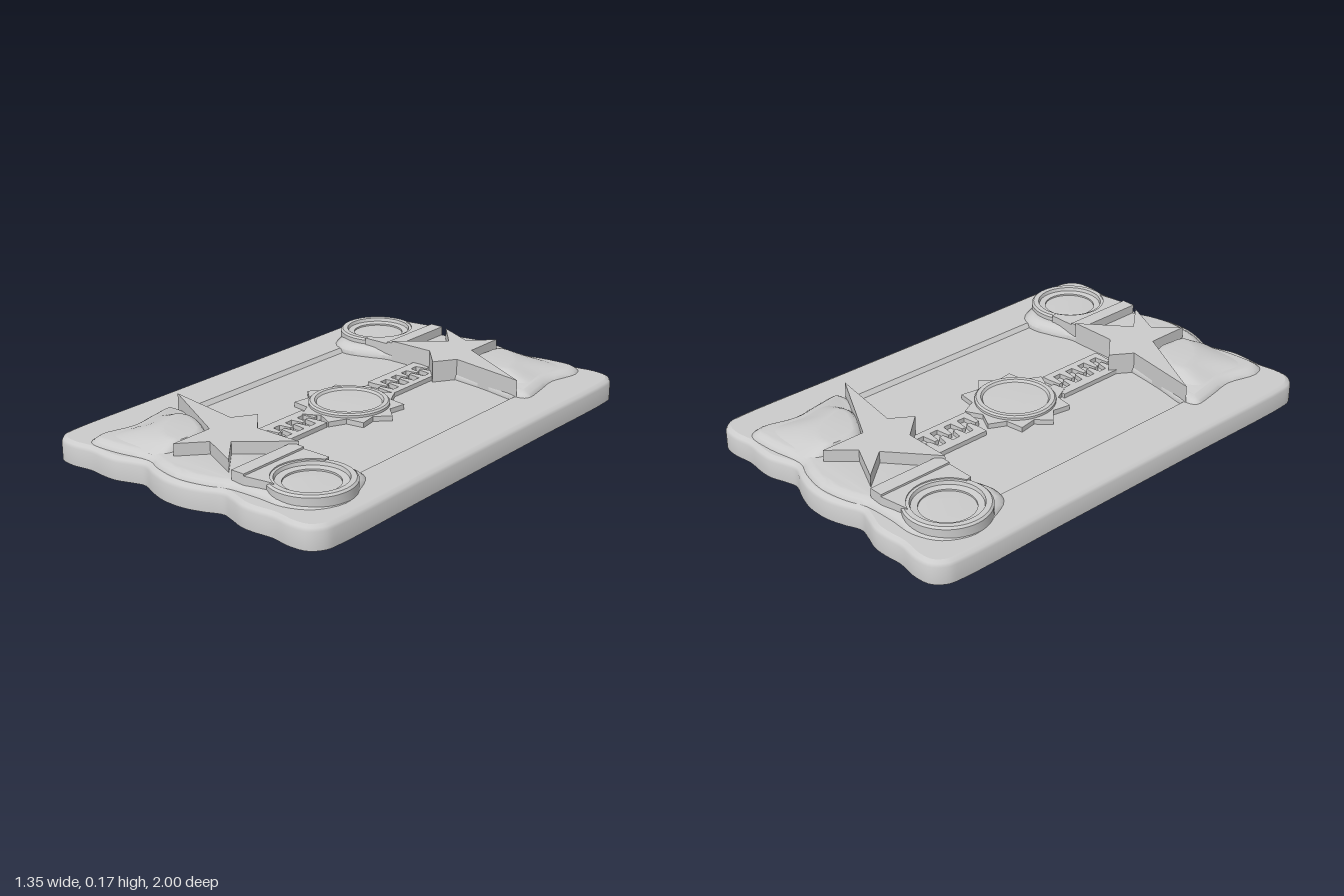
import * as THREE from 'three';
import { toCreasedNormals } from 'three/addons/utils/BufferGeometryUtils.js';

const mat = new THREE.MeshStandardMaterial({ color: 0xcccccc, side: THREE.DoubleSide });

function add(parent, name, geometry) {
  const mesh = new THREE.Mesh(geometry, mat);
  mesh.name = name;
  parent.add(mesh);
  return mesh;
}

// Plan points are [x, z]; stored as (x, -z), counter-clockwise seen from above
function plan(list) {
  const pts = list.map(([x, z]) => new THREE.Vector2(x, -z));
  return THREE.ShapeUtils.isClockWise(pts) ? pts.reverse() : pts;
}

function smooth(list, n = 96) {
  const curve = new THREE.CatmullRomCurve3(list.map(([x, z]) => new THREE.Vector3(x, 0, z)), true);
  return plan(curve.getPoints(n).slice(0, n).map(p => [p.x, p.z]));
}

function inset(pts, d) {
  const n = pts.length;
  return pts.map((p, i) => {
    const t = pts[(i + 1) % n].clone().sub(pts[(i + n - 1) % n]).normalize();
    return new THREE.Vector2(p.x - t.y * d, p.y + t.x * d);
  });
}

// Skin a stack of outlines [points, y], optionally closing the last one
function loft(levels, cap, crease = 0.6) {
  const n = levels[0][0].length, pos = [], idx = [];
  for (const [pts, y] of levels) for (const p of pts) pos.push(p.x, y, -p.y);
  for (let l = 0; l < levels.length - 1; l++) {
    for (let i = 0; i < n; i++) {
      const a = l * n + i, b = l * n + (i + 1) % n;
      idx.push(a, b, a + n, b, b + n, a + n);
    }
  }
  if (cap) {
    const start = (levels.length - 1) * n;
    const last = levels[levels.length - 1][0];
    for (const f of THREE.ShapeUtils.triangulateShape(last, [])) idx.push(...f.map(i => i + start));
  }
  const g = new THREE.BufferGeometry();
  g.setAttribute('position', new THREE.Float32BufferAttribute(pos, 3));
  g.setIndex(idx);
  return toCreasedNormals(g, crease);
}

const prism = (list, y0, y1) => {
  const pts = plan(list);
  return loft([[pts, y0], [pts, y1]], true, 0.4);
};

const lathe = (profile, seg = 48) =>
  toCreasedNormals(new THREE.LatheGeometry(profile.map(p => new THREE.Vector2(...p)), seg), 0.5);

// Everything on one short end; the other end is this turned half a circle
function createEnd() {
  const end = new THREE.Group();

  // Raised plateau across the end, swelling around the ring and the cushion
  const pad = smooth([
    [-0.52, 0.51], [-0.51, 0.62], [-0.49, 0.74], [-0.52, 0.88], [-0.49, 0.94], [-0.36, 0.945],
    [-0.2, 0.92], [-0.12, 0.95], [0, 0.97], [0.12, 0.95], [0.2, 0.92], [0.33, 0.91],
    [0.45, 0.91], [0.55, 0.86], [0.6, 0.75], [0.57, 0.64], [0.51, 0.53], [0.43, 0.505],
    [0.33, 0.53], [0.24, 0.56], [0, 0.56], [-0.14, 0.54], [-0.3, 0.52], [-0.47, 0.49]]);
  add(end, 'endPlateau', loft([[pad, 0.07], [pad, 0.092], [inset(pad, 0.015), 0.104],
    [inset(pad, 0.03), 0.113], [inset(pad, 0.04), 0.115]], true, 0.9));

  // Five-armed irregular star
  add(end, 'star', prism([[-0.48, 0.49], [-0.14, 0.545], [-0.08, 0.455], [0.015, 0.56], [0.22, 0.56],
    [0.03, 0.72], [0.14, 0.85], [-0.03, 0.77], [-0.12, 0.87], [-0.12, 0.68]], 0.07, 0.165));

  // Soft cushion beside the star
  const base = smooth([[-0.46, 0.6], [-0.32, 0.56], [-0.14, 0.67], [-0.14, 0.8], [-0.17, 0.89],
    [-0.3, 0.9], [-0.46, 0.88], [-0.45, 0.74]], 48);
  const crown = smooth([[-0.36, 0.62], [-0.31, 0.6], [-0.16, 0.68], [-0.155, 0.76], [-0.17, 0.82],
    [-0.23, 0.82], [-0.31, 0.76], [-0.35, 0.69]], 48);
  const mid = base.map((p, i) => p.clone().lerp(crown[i], 0.55));
  add(end, 'cushion', loft([[base, 0.11], [mid, 0.13], [crown, 0.148], [inset(crown, 0.02), 0.152]], true, 0.9));

  // Stepped ring with a well that runs down to the base
  const ring = new THREE.Group();
  ring.name = 'ringSocket';
  ring.position.set(0.43, 0, 0.73);
  add(ring, 'ring', lathe([[0.168, 0.09], [0.168, 0.132], [0.16, 0.14], [0.138, 0.14], [0.134, 0.126],
    [0.108, 0.122], [0.108, 0.1], [0, 0.1]]));
  add(ring, 'well', lathe([[0.14, 0.005], [0.14, 0.1]]));
  end.add(ring);

  // Latch bar and the plate that hugs the ring
  add(end, 'latchBar', prism([[0.19, 0.565], [0.25, 0.565], [0.25, 0.89], [0.19, 0.89]], 0.09, 0.153));
  const hug = [];
  for (let i = 0; i <= 16; i++) {
    const a = 1.95 + (i / 16) * (2 * Math.PI - 3.9);
    hug.push([0.43 + 0.15 * Math.cos(a), 0.73 + 0.15 * Math.sin(a)]);
  }
  add(end, 'latchPlate', prism([[0.25, 0.89], ...hug, [0.37, 0.565], [0.25, 0.565]], 0.09, 0.145));
  return end;
}

// Two interlocking toothed strips
function createRack() {
  const rack = new THREE.Group();
  const comb = (spine, root, tip, z0) => {
    const pts = [[spine, z0]];
    for (let i = 0; i < 5; i++) {
      const z = z0 + i * 0.07;
      pts.push([root, z], [tip, z + 0.008], [tip, z + 0.026], [root, z + 0.034]);
    }
    pts.push([spine, z0 + 0.314]);
    return prism(pts, 0.06, 0.093);
  };
  add(rack, 'leftRack', comb(-0.1, -0.06, -0.01, 0.18));
  add(rack, 'rightRack', comb(0.065, 0.035, -0.025, 0.215));
  return rack;
}

export function createModel() {
  const model = new THREE.Group();
  model.name = 'plaque';

  // Hollow body with wavy short ends
  const quarter = [[0, 0.998], [0.06, 0.993], [0.13, 0.972], [0.2, 0.945], [0.25, 0.957], [0.32, 0.98],
    [0.38, 0.982], [0.46, 0.975], [0.55, 0.987], [0.62, 0.975], [0.66, 0.93], [0.67, 0.87], [0.67, 0.4]];
  const half = [...quarter, [0.67, 0], ...quarter.slice(1).reverse().map(([x, z]) => [x, -z])];
  const outline = smooth([...half, [0, -0.998], ...half.slice(1).reverse().map(([x, z]) => [-x, z])], 200);
  const edge = inset(outline, 0.022);
  add(model, 'sideWall', loft([[outline, 0], [outline, 0.072], [inset(outline, 0.006), 0.084], [edge, 0.092]], false, 0.9));

  // Flat rim around the sunken panel
  const rect = (x, z) => plan([[-x, -z], [x, -z], [x, z], [-x, z]]);
  const rim = new THREE.Shape(edge);
  rim.holes.push(new THREE.Path(rect(0.47, 0.6)));
  const rimGeo = new THREE.ShapeGeometry(rim);
  rimGeo.rotateX(-Math.PI / 2).translate(0, 0.092, 0);
  add(model, 'rim', rimGeo);
  add(model, 'panel', loft([[rect(0.47, 0.6), 0.092], [rect(0.455, 0.585), 0.074]], true, 0.1));

  // Centre cog and dished medallion
  const cog = [];
  for (let i = 0; i < 20; i++) {
    const a = (i / 20) * Math.PI * 2, r = i % 2 ? 0.175 : 0.222;
    cog.push([r * Math.cos(a), r * Math.sin(a)]);
  }
  add(model, 'cog', prism(cog, 0.06, 0.095));
  add(model, 'medallion', lathe([[0.165, 0.06], [0.165, 0.105], [0.158, 0.112], [0.14, 0.112],
    [0.133, 0.102], [0.07, 0.104], [0, 0.105]]));

  // Matching racks and ends
  for (const side of [1, -1]) {
    const end = createEnd();
    end.name = side > 0 ? 'frontEnd' : 'backEnd';
    if (side < 0) end.rotation.y = Math.PI;
    const rack = createRack();
    rack.name = side > 0 ? 'frontRack' : 'backRack';
    if (side < 0) rack.position.z = -0.74;
    model.add(end, rack);
  }
  return model;
}
